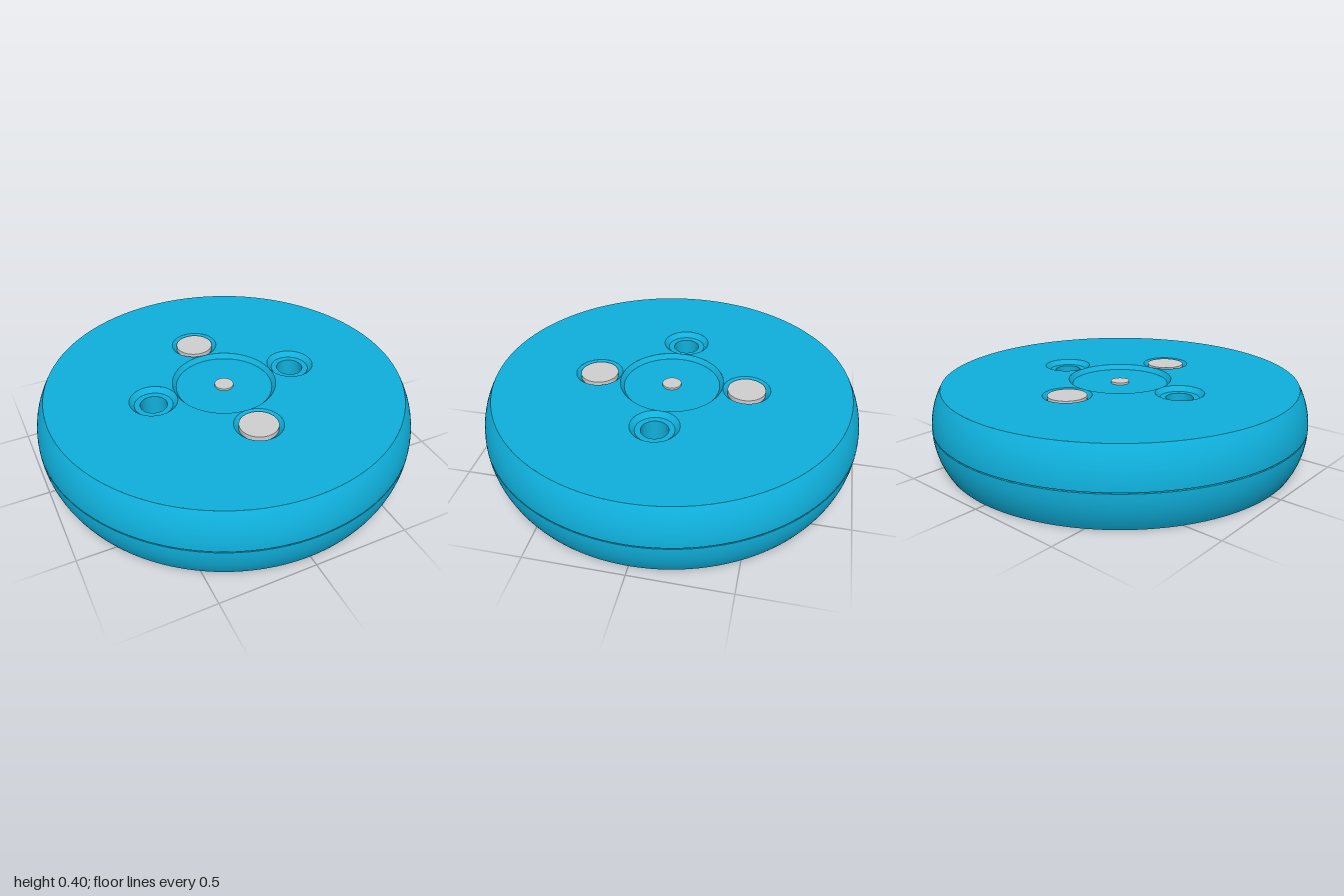
import * as THREE from 'three';

const blue = new THREE.MeshStandardMaterial({ color: 0x0fb0dc });
blue.name = 'blue shell';
const grey = new THREE.MeshStandardMaterial({ color: 0xd0d0d0 });
grey.name = 'grey metal';

const INNER = 0.003;  // half of the slit between the two shells
const TOP = 0.2;      // outer face of a shell, measured from the slit
const RECESS = 0.175; // floor of the recesses
const SPOTS = [[0.4, 0], [-0.4, 0], [0, 0.4], [0, -0.4]];

function add(parent, name, geometry, material, x = 0, y = 0, z = 0) {
  const mesh = new THREE.Mesh(geometry, material);
  mesh.name = name;
  mesh.position.set(x, y, z);
  parent.add(mesh);
  return mesh;
}

// Turned surface with sharp edges: one lathe band per profile segment
function turned(parent, name, profile, x = 0, z = 0) {
  const group = new THREE.Group();
  group.name = name;
  group.position.set(x, 0, z);
  for (let i = 0; i + 1 < profile.length; i++) {
    const pair = [profile[i], profile[i + 1]].map(([r, y]) => new THREE.Vector2(r, y));
    add(group, name + 'Band', new THREE.LatheGeometry(pair, 64), blue);
  }
  parent.add(group);
}

// Flat round face with a hole at each spot, facing up
function face(radius, centreHole, spotHole) {
  const shape = new THREE.Shape().absarc(0, 0, radius, 0, Math.PI * 2, false);
  const cut = (x, y, r) => shape.holes.push(new THREE.Path().absarc(x, y, r, 0, Math.PI * 2, true));
  if (centreHole) cut(0, 0, centreHole);
  SPOTS.forEach(([x, z]) => cut(x, z, spotHole));
  return new THREE.ShapeGeometry(shape, 48).rotateX(-Math.PI / 2);
}

function shell(name) {
  const half = new THREE.Group();
  half.name = name;
  // Bulging rim, an arc from radius 1 to 0.945
  const rim = [];
  const R = 0.39;
  for (let i = 0; i <= 12; i++) {
    const y = INNER + (TOP - INNER) * i / 12;
    rim.push(new THREE.Vector2(1 - R + Math.sqrt(R * R - y * y), y));
  }
  add(half, 'rim', new THREE.LatheGeometry(rim, 128), blue);
  add(half, 'outerFace', face(0.945, 0.2745, 0.125), blue, 0, TOP);
  add(half, 'innerFace', face(1, 0, 0.07).rotateX(Math.PI), blue, 0, INNER);
  // Shallow central dish
  turned(half, 'centreRecess', [[0.2745, TOP], [0.255, RECESS], [0, RECESS]]);
  // Chamfered through-holes
  for (const [x, z] of SPOTS) {
    turned(half, 'boltHole', [[0.125, TOP], [0.1, RECESS], [0.07, RECESS], [0.07, INNER]], x, z);
  }
  return half;
}

export function createModel() {
  const model = new THREE.Group();
  model.name = 'splitDisc';

  const upper = shell('upperShell');
  upper.position.y = 0.2;
  const lower = shell('lowerShell');
  lower.position.y = 0.2;
  lower.rotation.x = Math.PI;
  model.add(upper, lower);

  // Hub joining the shells, and the axle through it
  add(model, 'hub', new THREE.CylinderGeometry(0.125, 0.125, 0.02, 48), blue, 0, 0.2);
  add(model, 'axle', new THREE.CylinderGeometry(0.05, 0.05, 0.372, 32), grey, 0, 0.2);
  add(model, 'lowerCap', new THREE.CylinderGeometry(0.254, 0.254, 0.004, 64), grey, 0, 0.0245);

  // Two bolts, heads up
  for (const z of [0.4, -0.4]) {
    const bolt = new THREE.Group();
    bolt.name = 'bolt';
    bolt.position.z = z;
    add(bolt, 'boltHead', new THREE.CylinderGeometry(0.1, 0.1, 0.025, 48), grey, 0, 0.388);
    add(bolt, 'boltShank', new THREE.CylinderGeometry(0.069, 0.069, 0.352, 40), grey, 0, 0.2);
    model.add(bolt);
  }
  return model;
}
